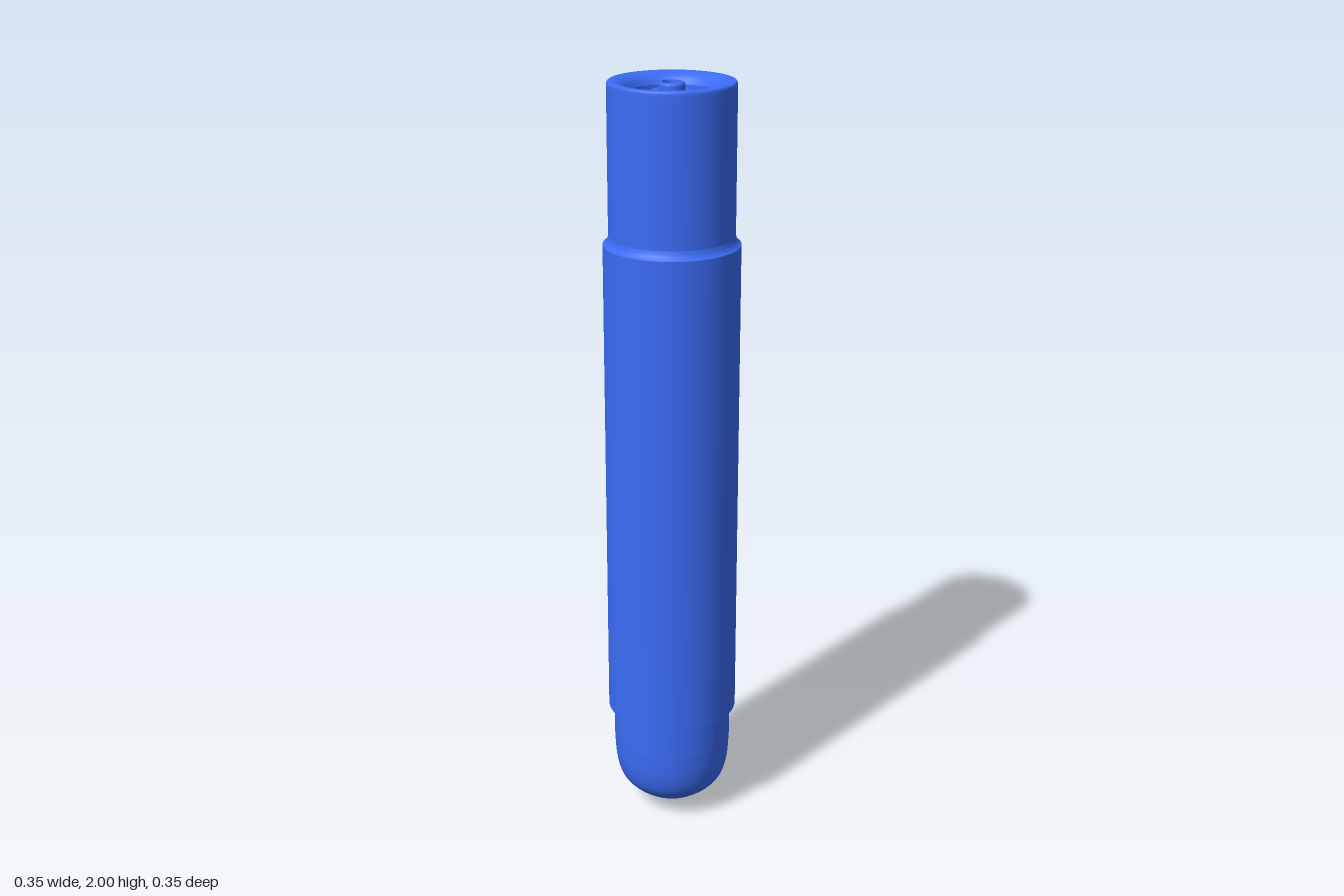
import * as THREE from 'three';
import { mergeGeometries } from 'three/addons/utils/BufferGeometryUtils.js';

const SEGMENTS = 96;
const blue = new THREE.MeshStandardMaterial({ color: 0x3b6cf6, side: THREE.DoubleSide });

// Turned part: each run of [radius, height] points is smooth, edges between runs stay sharp
function turned(name, ...runs) {
  const strips = runs.map((run) =>
    new THREE.LatheGeometry(run.map(([r, y]) => new THREE.Vector2(r, y)), SEGMENTS));
  const mesh = new THREE.Mesh(mergeGeometries(strips), blue);
  mesh.name = name;
  return mesh;
}

// Smooth curve through a few profile points
function curved(points, divisions) {
  const curve = new THREE.SplineCurve(points.map(([r, y]) => new THREE.Vector2(r, y)));
  return curve.getPoints(divisions).map((p) => [Math.max(p.x, 0), p.y]);
}

export function createModel() {
  const group = new THREE.Group();
  group.name = 'tube';

  // Barrel with rounded, slightly pointed base and a lip that rolls into the top recess
  group.add(turned('barrel',
    curved([[0, 0], [0.05, 0.02], [0.1, 0.05], [0.137, 0.088], [0.153, 0.14], [0.158, 0.21]], 36),
    [[0.158, 0.21], [0.159, 1.985]],
    curved([[0.159, 1.985], [0.158, 1.996], [0.152, 2], [0.135, 1.998], [0.118, 1.988], [0.107, 1.972]], 24),
    [[0.107, 1.972], [0.106, 1.945]],
    [[0.106, 1.945], [0.055, 1.95]],
  ));

  // Wider grip sleeve: flat lower step, bevelled upper edge
  group.add(turned('sleeve',
    [[0.157, 0.305], [0.173, 0.305]],
    [[0.173, 0.305], [0.173, 1.597]],
    curved([[0.173, 1.597], [0.167, 1.602], [0.162, 1.609], [0.158, 1.622]], 10),
  ));

  // Collar on the recess floor
  group.add(turned('collar',
    [[0.062, 1.945], [0.062, 1.965]],
    curved([[0.062, 1.965], [0.057, 1.973], [0.045, 1.977], [0.03, 1.978]], 10),
  ));

  // Small central post with a shallow hollow tip
  group.add(turned('centrePost',
    [[0.033, 1.975], [0.033, 1.99]],
    curved([[0.033, 1.99], [0.031, 1.995], [0.025, 1.997]], 6),
    [[0.025, 1.997], [0.024, 1.988]],
    [[0.024, 1.988], [0, 1.988]],
  ));

  return group;
}
